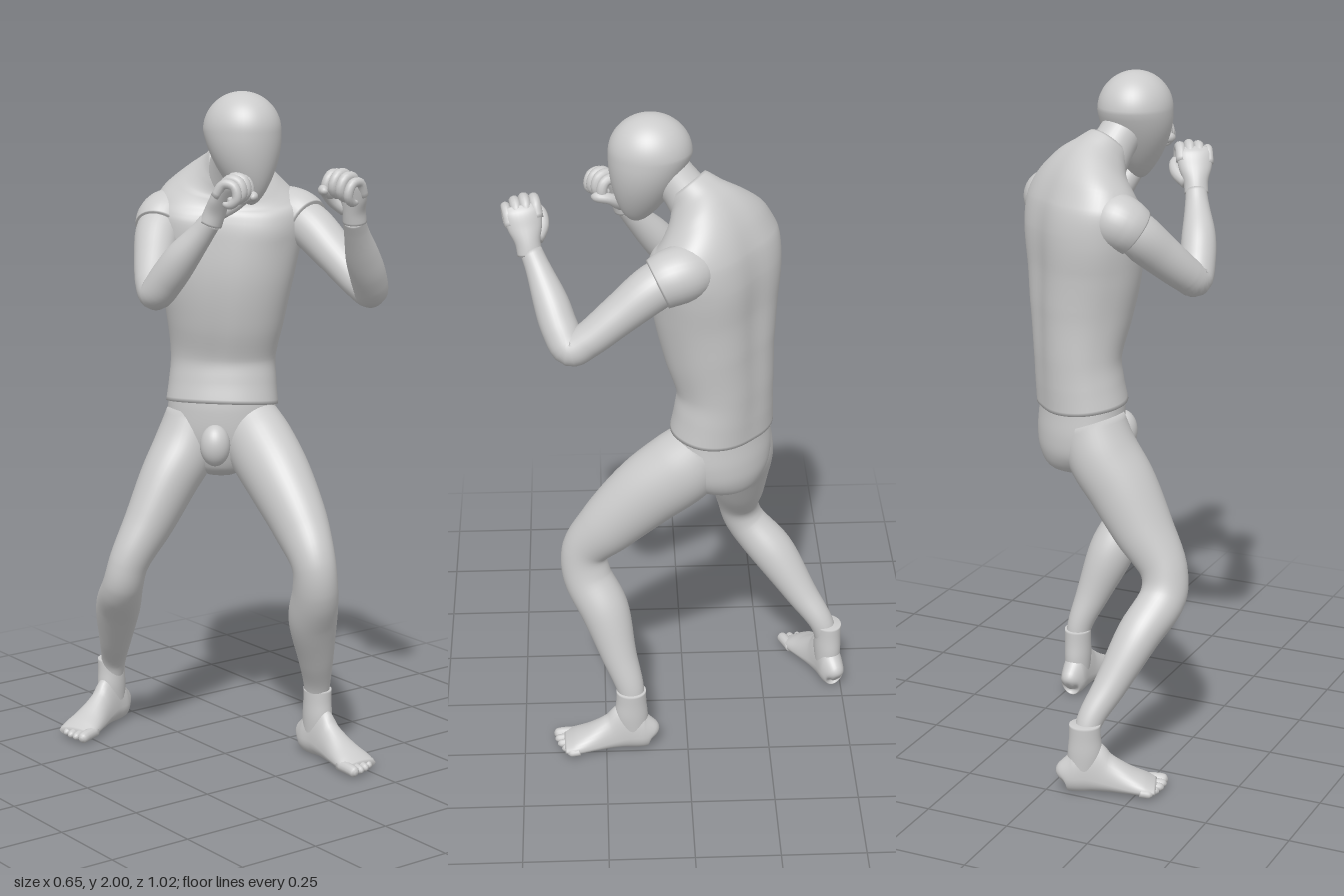
import * as THREE from 'three';
import { mergeVertices } from 'three/addons/utils/BufferGeometryUtils.js';

const skin = new THREE.MeshStandardMaterial({ color: 0xcccccc, side: THREE.DoubleSide });
const V = (x, y, z) => new THREE.Vector3(x, y, z);

// Smooth skin through elliptical sections.
// Row: [x, y, z, half width, front depth, back depth]; depths default to the width.
// "front" is the facing direction at the start, "frontEnd" at the end.
function loft(name, rows, front, { frontEnd = front, steps = 6, sides = 32, power = 1, shape = () => 1 } = {}) {
  const path = new THREE.CatmullRomCurve3(rows.map(r => V(r[0], r[1], r[2])));
  const size = new THREE.CatmullRomCurve3(
    rows.map(r => V(r[3], r[4] ?? r[3], r[5] ?? r[4] ?? r[3])), false, 'catmullrom');
  const n = (rows.length - 1) * steps, pos = [], idx = [];
  for (let i = 0; i <= n; i++) {
    const t = i / n, c = path.getPoint(t), s = size.getPoint(t), T = path.getTangent(t);
    const F = front.clone().lerp(frontEnd, t);
    F.addScaledVector(T, -F.dot(T)).normalize();
    const S = T.clone().cross(F);
    for (let j = 0; j < sides; j++) {
      const a = j / sides * Math.PI * 2, co = Math.cos(a), si = Math.sin(a), k = shape(a, t);
      const p = c.clone()
        .addScaledVector(S, k * s.x * Math.sign(co) * Math.abs(co) ** power)
        .addScaledVector(F, k * (si > 0 ? s.y : s.z) * Math.sign(si) * Math.abs(si) ** power);
      pos.push(p.x, p.y, p.z);
      if (i < n) {
        const b = i * sides, j2 = (j + 1) % sides;
        idx.push(b + j, b + sides + j, b + j2, b + j2, b + sides + j, b + sides + j2);
      }
    }
  }
  // End caps
  const c0 = pos.length / 3;
  for (const t of [0, 1]) pos.push(...path.getPoint(t).toArray());
  for (let j = 0; j < sides; j++) {
    const j2 = (j + 1) % sides;
    idx.push(c0, j, j2, c0 + 1, n * sides + j2, n * sides + j);
  }
  const g = new THREE.BufferGeometry();
  g.setAttribute('position', new THREE.Float32BufferAttribute(pos, 3));
  g.setIndex(idx);
  g.computeVertexNormals();
  const m = new THREE.Mesh(g, skin);
  m.name = name;
  return m;
}

function ellipsoid(name, c, r) {
  const m = new THREE.Mesh(new THREE.SphereGeometry(1, 32, 20), skin);
  m.position.set(...c);
  m.scale.set(...r);
  m.name = name;
  return m;
}

// Head: a sphere whose lower half is drawn down and forward into a jaw
function makeHead() {
  const g0 = new THREE.SphereGeometry(1, 48, 36);
  g0.deleteAttribute('uv');
  g0.deleteAttribute('normal');
  const g = mergeVertices(g0, 1e-4), p = g.attributes.position;
  for (let i = 0; i < p.count; i++) {
    let x = p.getX(i), y = p.getY(i), z = p.getZ(i);
    if (y < 0) {
      const k = -y;
      x *= 1 - 0.45 * k * k;
      z = z * (1 - 0.3 * k) + 0.35 * k;
      y *= 1.9;
    }
    p.setXYZ(i, x * 0.108, y * 0.11, z * 0.118);
  }
  g.computeVertexNormals();
  const m = new THREE.Mesh(g, skin);
  m.position.set(-0.01, 1.89, 0.095);
  m.name = 'head';
  return m;
}

// Fist: y runs from wrist to knuckles, z is the palm side, s puts the thumb on -x or +x
function makeFist(name, wrist, up, palm, s) {
  const g = new THREE.Group(), Z = V(0, 0, 1);
  g.name = name;
  g.add(loft('palm', [[0, -0.015, 0, 0.035, 0.032], [0, 0.02, 0, 0.036, 0.03], [0, 0.06, 0.002, 0.048, 0.026],
    [0, 0.1, 0.005, 0.052, 0.022], [0, 0.122, 0.01, 0.045, 0.012]], Z, { sides: 24 }));
  for (let i = 0; i < 4; i++) {
    const x = s * (-0.04 + i * 0.027), h = [0, 0.006, 0.002, -0.008][i], r = i === 3 ? 0.0135 : 0.0155;
    g.add(loft('finger', [[x, 0.08 + h, 0, r], [x, 0.122 + h, 0.012, r], [x, 0.128 + h, 0.042, r],
      [x, 0.1 + h, 0.062, r], [x, 0.076 + h, 0.05, r * 0.9], [x, 0.07 + h, 0.03, r * 0.5]],
    V(1, 0, 0), { sides: 12, steps: 4 }));
  }
  g.add(loft('thumb', [[s * -0.025, 0.02, 0.008, 0.02], [s * -0.05, 0.05, 0.03, 0.019], [s * -0.054, 0.082, 0.052, 0.016],
    [s * -0.036, 0.098, 0.078, 0.015], [s * -0.02, 0.098, 0.086, 0.006]], V(1, 0, 0.2), { sides: 12, steps: 4 }));
  const y = up.normalize(), x = y.clone().cross(palm).normalize();
  g.quaternion.setFromRotationMatrix(new THREE.Matrix4().makeBasis(x, y, x.clone().cross(y)));
  g.position.copy(wrist);
  return g;
}

// Foot: toes along +z, s = 1 puts the big toe on -x
function makeFoot(name, x, z, yaw, s) {
  const g = new THREE.Group(), Y = V(0, 1, 0);
  g.name = name;
  g.add(loft('sole', [[0, 0.04, -0.072, 0.012, 0.012, 0.02], [0, 0.048, -0.062, 0.03, 0.04, 0.043],
    [0, 0.05, -0.035, 0.039, 0.08, 0.05], [0, 0.05, 0.01, 0.038, 0.11, 0.05], [0, 0.04, 0.06, 0.042, 0.078, 0.038],
    [0, 0.03, 0.12, 0.054, 0.05, 0.028], [0, 0.024, 0.17, 0.062, 0.03, 0.023], [0, 0.02, 0.205, 0.056, 0.014, 0.016]], Y));
  g.add(loft('ankleCuff', [[0, 0.21, 0, 0.041, 0.045], [0, 0.17, 0, 0.04, 0.046], [0, 0.12, 0, 0.04, 0.05],
    [0, 0.06, -0.005, 0.036, 0.045]], V(0, 0, 1)));
  for (let i = 0; i < 5; i++) {
    const r = i ? 0.0125 : 0.017, tx = s * (-0.045 + i * 0.0245 - (i ? 0 : 0.001)), end = 0.237 - i * i * 0.0025;
    g.add(loft('toe', [[tx, 0.022, 0.16, r], [tx, 0.02, end - 0.025, r], [tx, 0.017, end - 0.008, r * 0.9],
      [tx, 0.015, end, r * 0.35]], Y, { sides: 12, steps: 4 }));
  }
  g.position.set(x, 0, z);
  g.rotation.y = yaw;
  return g;
}

export function createModel() {
  const model = new THREE.Group();
  const hipFront = V(-0.7, 0, 0.7), chestFront = V(-0.57, 0, 0.82);

  // Torso with chest muscles, belly line and spine groove
  const bump = (a, at, w) => Math.exp(-(((a - at) / w) ** 2));
  const chest = (a, t) => {
    const F = Math.PI / 2, B = 3 * F, mid = bump(t, 0.42, 0.35);
    return 1 + 0.06 * bump(t, 0.56, 0.12) * (bump(a, F - 0.5, 0.35) + bump(a, F + 0.5, 0.35))
      - 0.03 * mid * bump(a, F, 0.12) - 0.06 * mid * bump(a, B, 0.2)
      + 0.02 * mid * (bump(a, B - 0.5, 0.3) + bump(a, B + 0.5, 0.3));
  };
  model.add(loft('torso', [[0.067, 1.065, -0.105, 0.168, 0.125], [0.073, 1.13, -0.11, 0.161, 0.12],
    [0.077, 1.21, -0.113, 0.157, 0.118], [0.072, 1.34, -0.095, 0.178, 0.138], [0.067, 1.46, -0.085, 0.202, 0.148],
    [0.07, 1.57, -0.085, 0.222, 0.148], [0.072, 1.64, -0.08, 0.225, 0.138], [0.068, 1.69, -0.072, 0.2, 0.12],
    [0.058, 1.735, -0.055, 0.145, 0.102], [0.042, 1.775, -0.03, 0.085, 0.08], [0.028, 1.805, -0.005, 0.062, 0.062]],
  hipFront, { frontEnd: chestFront, sides: 64, power: 0.9, shape: chest }));
  model.add(loft('neck', [[0.045, 1.72, -0.045, 0.075], [0.022, 1.79, 0.005, 0.064], [0.005, 1.84, 0.05, 0.062],
    [-0.008, 1.88, 0.09, 0.06]], V(0, 0, 1)));
  model.add(makeHead());

  // Pelvis
  model.add(loft('pelvis', [[0.067, 1.1, -0.105, 0.16, 0.117], [0.067, 1.05, -0.105, 0.163, 0.12],
    [0.065, 0.98, -0.105, 0.165, 0.115, 0.128], [0.063, 0.92, -0.105, 0.15, 0.1, 0.125],
    [0.06, 0.87, -0.105, 0.1, 0.075, 0.1], [0.06, 0.845, -0.105, 0.04, 0.03]], hipFront, { sides: 48 }));
  model.add(ellipsoid('groin', [-0.022, 0.955, -0.02], [0.045, 0.062, 0.045]));

  // Legs, hip to ankle
  model.add(loft('leftLeg', [[0.122, 1.02, -0.055, 0.088, 0.095], [0.12, 0.95, 0.01, 0.1, 0.112],
    [0.113, 0.86, 0.115, 0.096, 0.108], [0.106, 0.74, 0.23, 0.08, 0.09], [0.096, 0.645, 0.302, 0.064, 0.07],
    [0.106, 0.56, 0.3, 0.064, 0.07, 0.075], [0.138, 0.455, 0.25, 0.071, 0.07, 0.076],
    [0.183, 0.32, 0.207, 0.052, 0.054], [0.214, 0.22, 0.175, 0.038, 0.042], [0.22, 0.14, 0.165, 0.034]],
  V(-0.15, 0.3, 1), { sides: 40 }));
  model.add(loft('rightLeg', [[0.008, 1.02, -0.16, 0.088, 0.095], [-0.025, 0.93, -0.165, 0.095, 0.105],
    [-0.085, 0.84, -0.165, 0.088, 0.103], [-0.155, 0.72, -0.168, 0.075, 0.09], [-0.225, 0.605, -0.175, 0.06, 0.07],
    [-0.234, 0.53, -0.197, 0.06, 0.068], [-0.195, 0.43, -0.285, 0.068, 0.06, 0.066],
    [-0.145, 0.3, -0.375, 0.05, 0.048], [-0.11, 0.21, -0.438, 0.038, 0.038], [-0.105, 0.14, -0.458, 0.034]],
  V(-0.75, 0.1, 0.6), { sides: 40 }));
  model.add(makeFoot('leftFoot', 0.219, 0.172, 0.02, 1));
  model.add(makeFoot('rightFoot', -0.105, -0.458, Math.atan2(-0.93, 0.37), -1));

  // Arms: shoulder sleeve, upper arm and forearm, fist
  model.add(loft('leftSleeve', [[0.18, 1.625, -0.045, 0.06], [0.215, 1.63, 0.0, 0.079], [0.232, 1.622, 0.045, 0.08],
    [0.24, 1.605, 0.085, 0.073]], V(1, 0, 0)));
  model.add(loft('leftArm', [[0.215, 1.635, 0.01, 0.06], [0.24, 1.6, 0.09, 0.066, 0.068], [0.26, 1.525, 0.19, 0.057, 0.062],
    [0.275, 1.455, 0.28, 0.05, 0.055], [0.278, 1.432, 0.325, 0.05, 0.05], [0.245, 1.48, 0.355, 0.052],
    [0.205, 1.54, 0.378, 0.049], [0.155, 1.615, 0.41, 0.036], [0.128, 1.66, 0.43, 0.031]], V(1, 0.2, 0)));
  model.add(makeFist('leftFist', V(0.125, 1.665, 0.435), V(-0.22, 0.95, 0.15), V(-0.97, 0, 0.15), 1));

  model.add(loft('rightSleeve', [[-0.02, 1.625, -0.165, 0.06], [-0.065, 1.625, -0.18, 0.079], [-0.095, 1.612, -0.175, 0.08],
    [-0.122, 1.588, -0.158, 0.073]], V(0.5, 0, 0.8)));
  model.add(loft('rightArm', [[-0.06, 1.635, -0.185, 0.06], [-0.122, 1.588, -0.158, 0.067], [-0.178, 1.52, -0.102, 0.06],
    [-0.227, 1.455, -0.04, 0.052], [-0.242, 1.432, -0.005, 0.05], [-0.232, 1.48, 0.04, 0.052],
    [-0.215, 1.54, 0.085, 0.049], [-0.187, 1.61, 0.138, 0.036], [-0.172, 1.65, 0.165, 0.031]], V(-1, 0, 0.3)));
  model.add(makeFist('rightFist', V(-0.17, 1.655, 0.17), V(0.18, 0.92, 0.3), V(0.5, 0, 0.85), -1));
  return model;
}
